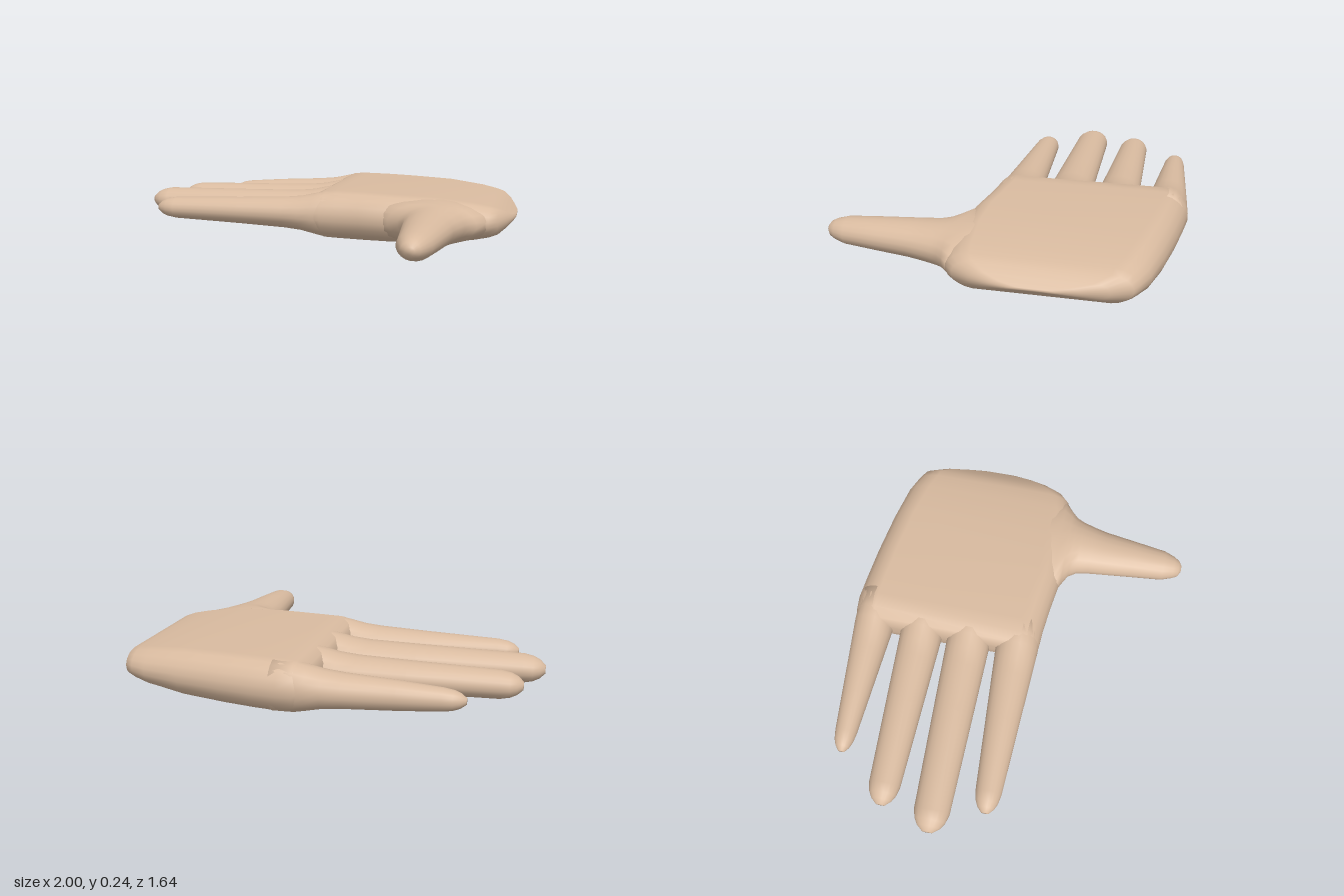
import * as THREE from 'three';
import { mergeVertices } from 'three/addons/utils/BufferGeometryUtils.js';

const SIDES = 20;
const MID_Y = 0.127;

// Skin a row of cross-sections, listed from root to tip.
// Station: [position along axis, low edge, high edge, half height, edge rounding (optional)]
function loft(stations, place) {
  const first = stations[0], last = stations[stations.length - 1];
  const pole = (s) => [s[0], (s[1] + s[2]) / 2, (s[1] + s[2]) / 2, 0];
  const rings = [pole(first), ...stations, pole(last)];
  const pos = [], index = [];
  for (const [s, lo, hi, h, round = 9] of rings) {
    const half = (hi - lo) / 2, r = Math.min(round, half);
    for (let j = 0; j < SIDES; j++) {
      const t = ((j + 0.5) / SIDES) * Math.PI * 2, c = Math.cos(t);
      const across = (lo + hi) / 2 + Math.sign(c) * (half - r) + r * c;
      pos.push(...place(s, MID_Y + h * Math.sin(t), across));
    }
  }
  for (let i = 0; i < rings.length - 1; i++) {
    for (let j = 0; j < SIDES; j++) {
      const a = i * SIDES + j, b = i * SIDES + (j + 1) % SIDES;
      index.push(a, b, a + SIDES, b, b + SIDES, a + SIDES);
    }
  }
  const geo = new THREE.BufferGeometry();
  geo.setAttribute('position', new THREE.Float32BufferAttribute(pos, 3));
  geo.setIndex(index);
  const merged = mergeVertices(geo, 1e-5);
  merged.computeVertexNormals();
  return merged;
}

const alongX = (s, y, across) => [s, y, across];
const alongZ = (s, y, across) => [across, y, s];

export function createModel() {
  const hand = new THREE.Group();
  hand.name = 'hand';
  const skin = new THREE.MeshStandardMaterial({ color: 0xd9bba0 });
  skin.name = 'skin';
  const add = (name, stations, place) => {
    const mesh = new THREE.Mesh(loft(stations, place), skin);
    mesh.name = name;
    hand.add(mesh);
  };

  // Palm, from the wedge-shaped heel to the knuckles
  add('palm', [
    [1.0, -0.34, -0.14, 0.006, 0.05],
    [0.985, -0.44, -0.05, 0.018, 0.06],
    [0.96, -0.56, 0.04, 0.038, 0.08],
    [0.92, -0.65, 0.125, 0.066, 0.11],
    [0.88, -0.675, 0.165, 0.079, 0.13],
    [0.8, -0.71, 0.185, 0.094, 0.14],
    [0.62, -0.752, 0.2, 0.114, 0.14],
    [0.4, -0.79, 0.195, 0.121, 0.14],
    [0.25, -0.81, 0.172, 0.124, 0.14],
    [0.12, -0.825, 0.157, 0.124, 0.14],
    [0.05, -0.82, 0.153, 0.12, 0.13],
    [0.0, -0.81, 0.148, 0.095, 0.12],
    [-0.02, -0.795, 0.135, 0.06, 0.11],
  ], alongX);

  // Fingers: tip x, tip centre z, near-tip edges, root edges, thickness near the tip
  const fingers = [
    ['indexFinger', -0.86, 0.045, -0.022, 0.108, -0.07, 0.15, 0.056],
    ['middleFinger', -1.0, -0.21, -0.296, -0.12, -0.325, -0.1, 0.067],
    ['ringFinger', -0.915, -0.46, -0.54, -0.385, -0.57, -0.352, 0.064],
    ['littleFinger', -0.695, -0.713, -0.768, -0.66, -0.816, -0.612, 0.052],
  ];
  for (const [name, tip, mid, lo, hi, rootLo, rootHi, h] of fingers) {
    const blend = (x) => {
      const k = (x - tip - 0.1) / (-0.1 - tip);
      return [x, lo + (rootLo - lo) * k, hi + (rootHi - hi) * k];
    };
    const near = (d, f) => [tip + d, mid + (lo - mid) * f, mid + (hi - mid) * f, h * f];
    add(name, [
      [0.16, rootLo, rootHi, 0.119],
      [0.06, rootLo, rootHi, 0.117],
      [0.0, rootLo, rootHi, 0.104],
      [...blend(-0.07), 0.088],
      [...blend(-0.16), 0.079],
      [...blend(-0.4), (0.077 + h) / 2 + 0.002],
      near(0.1, 1),
      near(0.055, 0.86),
      near(0.025, 0.64),
      near(0, 0.28),
    ], alongX);
  }

  // Thumb, flaring into the side of the palm
  add('thumb', [
    [-0.06, 0.42, 0.78, 0.1],
    [0.08, 0.36, 0.86, 0.108],
    [0.155, 0.3, 0.885, 0.104],
    [0.2, 0.4, 0.83, 0.101],
    [0.23, 0.455, 0.8, 0.098],
    [0.27, 0.482, 0.78, 0.094],
    [0.33, 0.493, 0.76, 0.089],
    [0.4, 0.5, 0.742, 0.084],
    [0.56, 0.516, 0.716, 0.075],
    [0.72, 0.531, 0.69, 0.064],
    [0.775, 0.55, 0.667, 0.05],
    [0.802, 0.563, 0.65, 0.036],
    [0.817, 0.588, 0.626, 0.016],
  ], alongZ);

  return hand;
}
